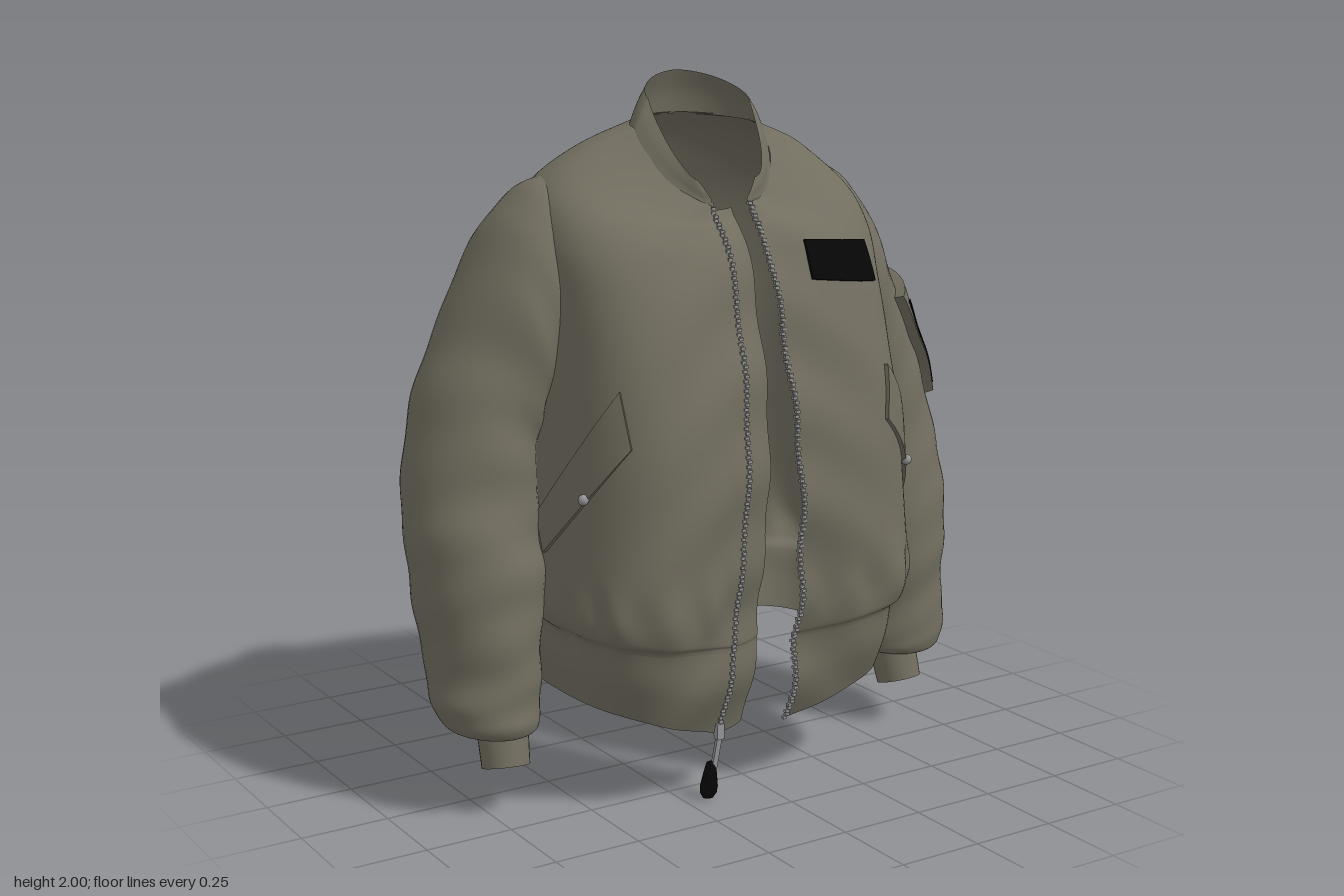
import * as THREE from 'three';
import { mergeGeometries, toCreasedNormals } from 'three/addons/utils/BufferGeometryUtils.js';

const V = (x, y, z) => new THREE.Vector3(x, y, z);
const PI = Math.PI;

const material = (name, color) => {
  const m = new THREE.MeshStandardMaterial({ color, side: THREE.DoubleSide });
  m.name = name;
  return m;
};

// Smooth interpolation through the rows of a small table.
function sample(rows, v) {
  const n = rows.length;
  const i = Math.max(0, Math.min(Math.floor(v), n - 2));
  const t = v - i;
  const row = (k) => rows[Math.max(0, Math.min(k, n - 1))];
  return rows[i].map((b, k) => {
    const a = row(i - 1)[k], c = row(i + 1)[k], d = row(i + 2)[k];
    return 0.5 * (2 * b + (c - a) * t + (2 * a - 5 * b + 4 * c - d) * t * t + (3 * b - a - 3 * c + d) * t * t * t);
  });
}

// Grid surface from a point rule.
function loft(nu, nv, point, flip = false) {
  const pos = [], index = [];
  for (let j = 0; j <= nv; j++) {
    for (let i = 0; i <= nu; i++) {
      pos.push(...point(i, j).toArray());
      if (i === nu || j === nv) continue;
      const a = j * (nu + 1) + i, b = a + 1, c = a + nu + 1, d = c + 1;
      index.push(...(flip ? [a, c, b, b, c, d] : [a, b, c, b, d, c]));
    }
  }
  const g = new THREE.BufferGeometry();
  g.setAttribute('position', new THREE.Float32BufferAttribute(pos, 3));
  g.setIndex(index);
  g.computeVertexNormals();
  return g;
}

// Rings: front y, front z, half width, side y, back y, back z, chest puff, middle z, squareness
const TORSO = [
  [0.19, 0.355, 0.50, 0.30, 0.33, -0.285, 0.05, 0.02, 0.7],
  [0.32, 0.40, 0.52, 0.40, 0.42, -0.315, 0.05, 0.02, 0.68],
  [0.44, 0.41, 0.53, 0.49, 0.50, -0.34, 0.06, 0.02, 0.66],
  [0.47, 0.42, 0.56, 0.53, 0.53, -0.38, 0.075, 0.02, 0.65],
  [0.58, 0.43, 0.57, 0.62, 0.62, -0.43, 0.08, 0.02, 0.66],
  [0.80, 0.445, 0.555, 0.82, 0.82, -0.465, 0.06, 0.02, 0.7],
  [1.00, 0.435, 0.54, 1.02, 1.02, -0.455, 0.055, 0.01, 0.7],
  [1.20, 0.40, 0.53, 1.22, 1.22, -0.425, 0.045, 0, 0.68],
  [1.40, 0.345, 0.53, 1.42, 1.42, -0.375, 0.035, -0.02, 0.67],
  [1.52, 0.30, 0.525, 1.57, 1.60, -0.31, 0.02, -0.03, 0.7],
  [1.58, 0.26, 0.48, 1.70, 1.72, -0.25, 0.01, -0.03, 0.78],
  [1.61, 0.23, 0.365, 1.79, 1.82, -0.19, 0, -0.01, 0.95],
  [1.65, 0.20, 0.21, 1.85, 1.88, -0.135, 0, 0.02, 1.15],
];
const COLLAR = [
  [1.645, 0.202, 0.213, 1.845, 1.875, -0.138, 0, 0.02, 1.15],
  [1.68, 0.198, 0.19, 1.89, 1.94, -0.125, 0, 0.02, 1.15],
  [1.715, 0.185, 0.165, 1.925, 2.0, -0.1, 0, 0.02, 1.15],
];

// Point on the torso: t runs from the left front edge round the back to the right one.
function torsoPoint(rows, t, v, folds = 1) {
  const [fy, fz, w, sy, by, bz, puff, cz, square] = sample(rows, v);
  const s = t <= PI ? 1 : -1, q = s > 0 ? t : 2 * PI - t;
  const c = Math.cos(q), front = c > 0;
  const k = Math.pow(Math.max(0, Math.sin(q)), 0.8 + Math.max(0, square - 0.7) * 0.85);
  const drop = 1.66 - fy, spread = Math.max(0, -drop) * 0.7;
  const edge = s > 0 ? 0.04 + drop * 0.027 + spread : -0.075 - drop * 0.055 - spread;
  // the hem rises in a straight line towards the sides
  const rise = THREE.MathUtils.lerp(1 - k, Math.abs(c), front ? THREE.MathUtils.smoothstep(fy, 0.45, 0.75) : 1);
  const p = V(
    s * w * k + (front ? edge * (1 - k) : 0),
    sy + ((front ? fy : by) - sy) * rise,
    cz + ((front ? fz : bz) - cz) * Math.pow(Math.abs(c), front ? square : square - 0.12)
      + (front ? puff * Math.sin(2 * q) : 0),
  );
  const fold = folds * (
    0.010 * Math.sin(19 * q + 2 * s + 1.5 * Math.sin(5 * q)) * Math.exp(-(((p.y - 0.57) / 0.07) ** 2)) +
    0.008 * Math.sin(23 * p.y + 8 * q + s) * Math.exp(-2.5 * q) +
    0.004 * Math.sin(8 * p.y + 5 * q + s));
  return p.addScaledVector(V(p.x * 0.6, 0, p.z - cz).normalize(), fold);
}

// Sleeve rings: outer x, outer y, inner x, inner y, middle z, half depth
const SLEEVE = [
  [0.43, 1.735, 0.44, 1.20, -0.06, 0.15],
  [0.53, 1.69, 0.47, 1.12, -0.07, 0.205],
  [0.63, 1.555, 0.49, 1.08, -0.08, 0.228],
  [0.735, 1.33, 0.50, 1.02, -0.09, 0.222],
  [0.82, 1.13, 0.505, 0.92, -0.08, 0.22],
  [0.87, 0.92, 0.51, 0.80, -0.055, 0.215],
  [0.885, 0.75, 0.515, 0.68, -0.015, 0.212],
  [0.875, 0.58, 0.53, 0.54, 0.005, 0.207],
  [0.86, 0.43, 0.55, 0.39, 0.025, 0.185],
  [0.86, 0.32, 0.56, 0.28, 0.055, 0.16],
  [0.83, 0.25, 0.58, 0.235, 0.075, 0.135],
  [0.76, 0.228, 0.63, 0.225, 0.10, 0.075],
];
function sleevePoint(side, a, v) {
  const [ox, oy, ix, iy, mz, dz] = sample(SLEEVE, v);
  const calm = Math.max(0, Math.min(1, v / 2, (11 - v) / 2));
  const f = 1 + calm * (0.022 * Math.sin(3.6 * v + 2 * Math.cos(a) + side) * (0.6 - 0.4 * Math.cos(a))
    + 0.012 * Math.sin(6 * v + 3 * Math.sin(a + side)));
  const c = Math.cos(a) * 0.5 * f, lean = -0.012 * Math.min(1, v / 4);
  return V(side * ((ox + ix) / 2 + (ox - ix) * c) + lean, (oy + iy) / 2 + (oy - iy) * c, mz + dz * Math.sin(a) * f);
}

// Drops a point onto a mesh along a direction, then lifts it off the surface.
const ray = new THREE.Raycaster();
function land(target, p, dir, lift) {
  ray.set(p.clone().addScaledVector(dir, -0.6), dir);
  const hit = ray.intersectObject(target)[0];
  if (!hit) return p.clone();
  const n = hit.face.normal.clone();
  if (n.dot(dir) > 0) n.negate();
  return hit.point.clone().addScaledVector(n, lift);
}
const inQuad = ([a, b, c, d], u, v) => a.clone().lerp(b, u).lerp(d.clone().lerp(c, u), v);

// Sewn-on panel that follows the cloth below, with turned-down borders.
function panel(target, quad, dir, thick, n = 16) {
  const at = (i) => Math.max(0, Math.min(1, (i - 1) / n));
  const border = (i) => i === 0 || i === n + 2;
  return toCreasedNormals(loft(n + 2, n + 2, (i, j) =>
    land(target, inQuad(quad, at(i), at(j)), dir, border(i) || border(j) ? -0.004 : thick)), 0.6);
}

const latheOf = (points, sides) =>
  new THREE.LatheGeometry(points.map(([x, y]) => new THREE.Vector2(x, y)), sides);

export function createModel() {
  const jacket = new THREE.Group();
  jacket.name = 'jacket';
  const olive = material('olive cloth', 0x716d5f);
  const black = material('black', 0x060606);
  const metal = material('zip metal', 0x949497);
  const add = (name, geometry, mat = olive) => {
    const m = new THREE.Mesh(geometry, mat);
    m.name = name;
    jacket.add(m);
    return m;
  };

  // Torso, ribbed hem and collar
  const around = 128;
  const shell = (rows, v0, v1, nv, folds) => loft(around, nv, (i, j) =>
    torsoPoint(rows, (i / around) * 2 * PI, v0 + ((v1 - v0) * j) / nv, folds));
  const body = add('body', shell(TORSO, 2, 12, 90, 1));
  add('hemBand', shell(TORSO, 0, 2, 12, 1));
  add('collar', shell(COLLAR, 0, 2, 12, 0));

  // Wind flap behind the right zip
  add('windFlap', loft(6, 70, (i, j) => {
    const u = i / 6, p = torsoPoint(TORSO, 2 * PI, (j / 70) * 11.5);
    const inner = THREE.MathUtils.mapLinear(p.y, 0.2, 1.64, -0.04, 0.02);
    return V(p.x + (inner - p.x) * u, p.y, p.z - 0.006 - 0.045 * u * u);
  }));

  // Zip teeth along both front edges
  [['leftZip', 0], ['rightZip', 2 * PI]].forEach(([name, t]) => {
    const path = new THREE.CatmullRomCurve3(Array.from({ length: 50 }, (_, i) => torsoPoint(TORSO, t, (i / 49) * 11.9)));
    const teeth = path.getSpacedPoints(120).map((p, i) =>
      new THREE.BoxGeometry(0.013, 0.008, 0.01).translate(p.x + (i % 2 ? 0.002 : -0.002), p.y, p.z));
    add(name, mergeGeometries(teeth), metal);
  });

  // Zip slider and teardrop pull
  const slider = add('zipSlider', new THREE.BoxGeometry(0.022, 0.045, 0.02), metal);
  slider.position.set(-0.155, 0.2, 0.365);
  const link = add('zipLink', new THREE.BoxGeometry(0.016, 0.1, 0.01), metal);
  link.position.set(-0.16, 0.14, 0.36);
  link.rotation.set(0.1, 0, -0.12);
  const pull = add('zipPull', latheOf([[0, -0.056], [0.016, -0.053], [0.026, -0.038], [0.028, -0.02], [0.021, 0.02],
    [0.014, 0.05], [0, 0.055]], 18), black);
  pull.position.set(-0.178, 0.058, 0.352);
  pull.rotation.z = -0.1;
  pull.scale.z = 0.65;

  // Chest patch
  add('chestPatch', panel(body, [V(0.165, 1.44, 0.4), V(0.4, 1.415, 0.4), V(0.4, 1.525, 0.4), V(0.165, 1.545, 0.4)],
    V(0, 0, -1), 0.008), black);

  // Sleeves, cuffs and slanted hand pockets
  const sleeves = {};
  for (const [side, label, shift] of [[1, 'left', 0], [-1, 'right', 0.06]]) {
    sleeves[label] = add(label + 'Sleeve', loft(48, 110, (i, j) =>
      sleevePoint(side, PI + (i / 48) * 2 * PI, (j / 110) * 11), side < 0));

    const cuff = add(label + 'Cuff', toCreasedNormals(latheOf([
      [0, 0.09], [0.058, 0.09], [0.06, 0], [0.067, 0], [0.07, 0.07], [0.078, 0.14],
    ], 28), 0.6));
    cuff.position.set(side * 0.683 - 0.018, 0.135, 0.13);
    cuff.rotation.set(-0.28, 0, side * 0.06);

    const place = (x, y, z) => V(side * (x + shift), y, z - shift);
    const quad = [place(0.37, 1.04, 0.43), place(0.53, 0.72, 0.21), place(0.53, 0.82, 0.17), place(0.37, 1.19, 0.38)];
    if (side < 0) quad.reverse();
    const dir = V(-0.7 * side, 0, -0.7).normalize();
    add(label + 'PocketFlap', panel(body, quad, dir, 0.012));
    const snap = add(label + 'Snap', new THREE.SphereGeometry(0.015, 14, 10), metal);
    snap.position.copy(land(body, place(0.46, 0.895, 0.335), dir, 0.013));
  }

  // Zipped utility pocket with pen slots on the left sleeve
  const quad = [V(0.81, 1.0, 0.03), V(0.85, 1.06, -0.1), V(0.72, 1.39, -0.08), V(0.63, 1.32, 0.1)];
  const dir = V(-0.75, -0.2, -0.6).normalize();
  const part = (u0, u1, v0, v1) => [[u0, v0], [u1, v0], [u1, v1], [u0, v1]].map(([u, v]) => inQuad(quad, u, v));
  const pocket = add('sleevePocket', panel(sleeves.left, quad, dir, 0.03));
  add('sleevePocketZip', panel(pocket, part(0.08, 0.18, 0.07, 0.9), dir, 0.004), black);
  add('penSlots', panel(pocket, part(0.45, 0.95, 0.05, 0.72), dir, 0.008));

  return jacket;
}
